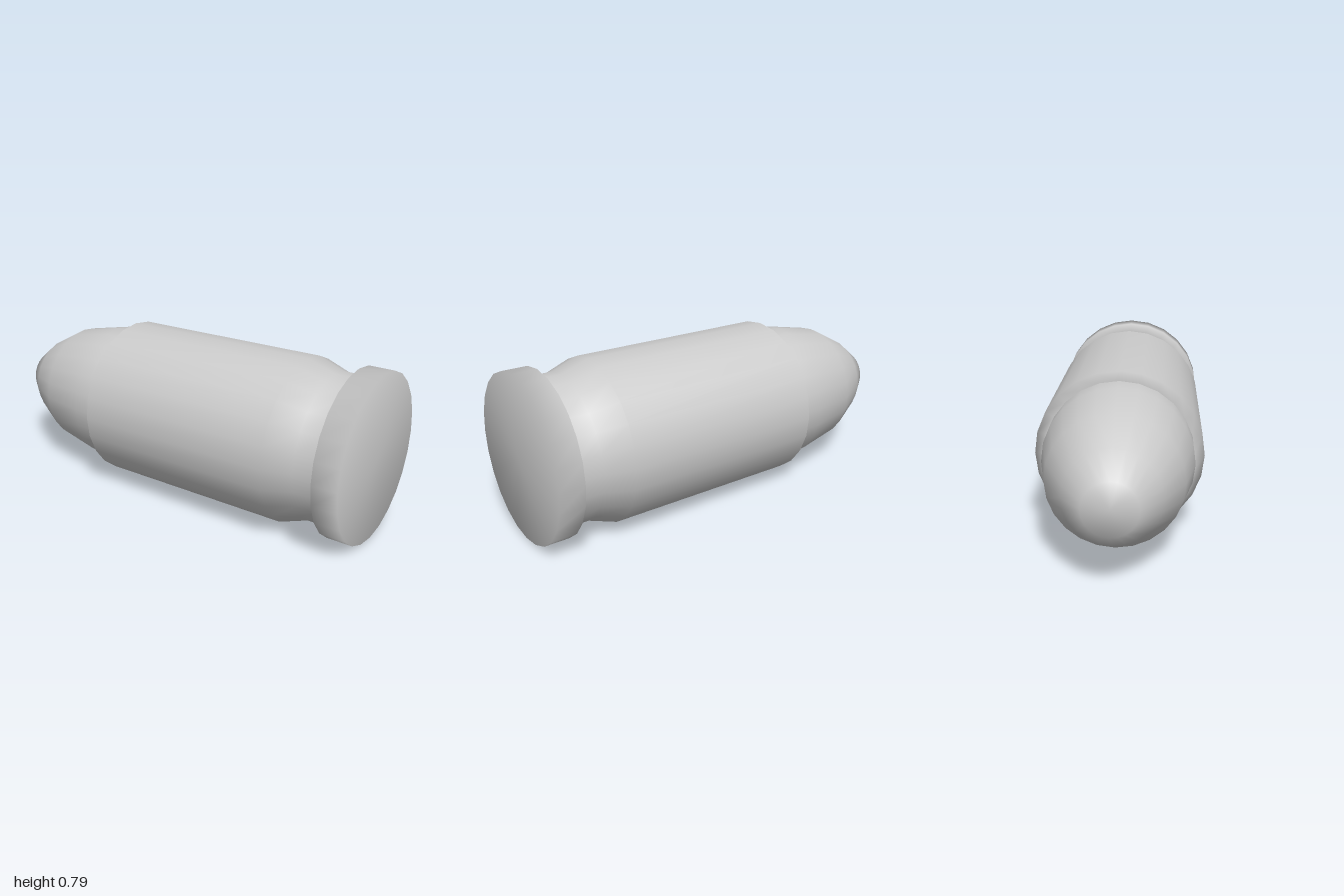
import * as THREE from 'three';

const RADIUS = 0.393;
const SIDES = 24;

// Turns a profile of [position along x, radius] pairs around the long axis.
function turned(name, profile, material) {
  const points = profile.map(([x, r]) => new THREE.Vector2(r, x));
  const geometry = new THREE.LatheGeometry(points, SIDES);
  geometry.rotateZ(-Math.PI / 2);
  geometry.translate(0, RADIUS, 0);
  const mesh = new THREE.Mesh(geometry, material);
  mesh.name = name;
  return mesh;
}

export function createModel() {
  const group = new THREE.Group();
  group.name = 'cartridge';
  const material = new THREE.MeshStandardMaterial({ color: 0xcccccc });

  // Blunt-tipped bullet, seated in the mouth of the case
  group.add(turned('bullet', [
    [-1, 0], [-1, 0.117], [-0.88, 0.21], [-0.71, 0.3], [-0.47, 0.347], [-0.35, 0.347],
  ], material));

  // Straight case with its mouth lip, tapering into the extractor groove
  group.add(turned('case', [
    [-0.35, 0.347], [-0.35, RADIUS], [0.64, RADIUS], [0.77, 0.347], [0.88, 0.347],
  ], material));

  // Rim and flat base
  group.add(turned('rim', [
    [0.88, 0.347], [0.88, RADIUS], [1, RADIUS], [1, 0],
  ], material));

  return group;
}
